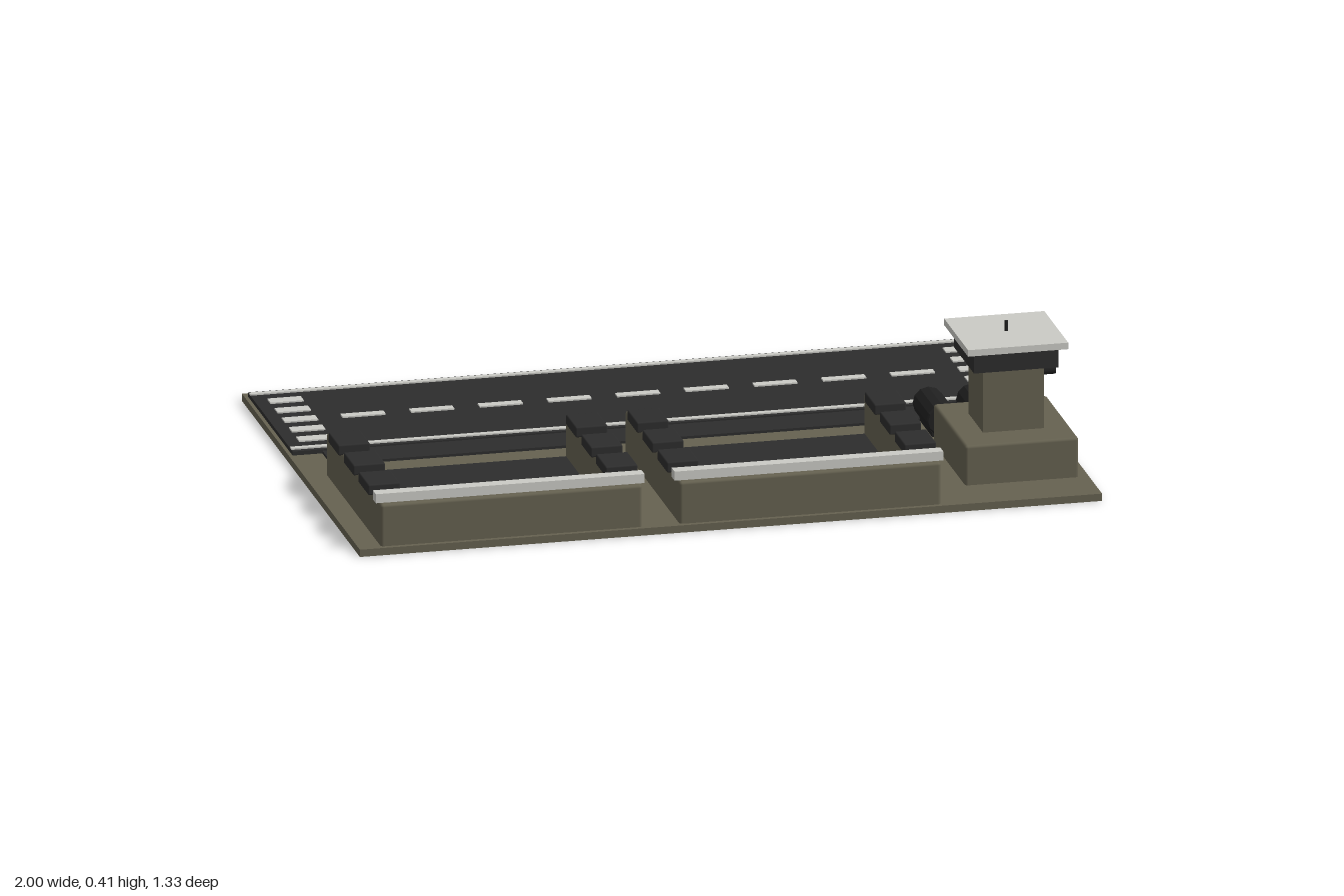
import * as THREE from 'three';
import { RoundedBoxGeometry } from 'three/addons/geometries/RoundedBoxGeometry.js';

const mat = (name, color) => {
  const m = new THREE.MeshStandardMaterial({ color });
  m.name = name;
  return m;
};

export function createModel() {
  const olive = mat('olive concrete', 0x656150);
  const asphalt = mat('asphalt', 0x2d2d2d);
  const white = mat('off white', 0xcacac5);
  const black = mat('dark metal', 0x202020);
  const root = new THREE.Group();
  root.name = 'airbase';

  const group = (name) => {
    const g = new THREE.Group();
    g.name = name;
    root.add(g);
    return g;
  };
  // Box given by its limits on each axis, with an optional rounded edge
  const box = (parent, name, m, [x0, x1], [y0, y1], [z0, z1], r = 0) => {
    const s = [x1 - x0, y1 - y0, z1 - z0];
    const geo = r ? new RoundedBoxGeometry(...s, 2, r) : new THREE.BoxGeometry(...s);
    const mesh = new THREE.Mesh(geo, m);
    mesh.name = name;
    mesh.position.set((x0 + x1) / 2, (y0 + y1) / 2, (z0 + z1) / 2);
    parent.add(mesh);
    return mesh;
  };
  const rod = (parent, name, m, r, length, x, y, z, sides = 12) => {
    const mesh = new THREE.Mesh(new THREE.CylinderGeometry(r, r, length, sides), m);
    mesh.name = name;
    mesh.position.set(x, y, z);
    parent.add(mesh);
    return mesh;
  };

  // Ground slab
  box(root, 'groundSlab', olive, [-1, 1], [0, 0.02], [-0.665, 0.665]);

  // Runway, taxiway and painted markings
  const runway = group('runway');
  box(runway, 'runwaySurface', asphalt, [-0.99, 0.99], [0.015, 0.031], [-0.64, -0.135]);
  box(runway, 'taxiway', asphalt, [-0.91, 0.77], [0.015, 0.027], [-0.14, 0.03 - 0.06]);
  for (const z of [-0.619, -0.157])
    box(runway, 'edgeLine', white, [-0.99, 0.99], [0.03, 0.035], [z - 0.008, z + 0.008]);
  for (let i = -4; i <= 4; i++) {
    const x = i * 0.185;
    box(runway, 'centreDash', white, [x - 0.058, x + 0.058], [0.03, 0.035], [-0.4, -0.374]);
  }
  for (const side of [-1, 1])
    for (let i = -2; i <= 2; i++) {
      const z = -0.387 + i * 0.081, x = side * 0.91;
      box(runway, 'thresholdBar', white, [x - 0.045, x + 0.045], [0.03, 0.035], [z - 0.018, z + 0.018]);
    }

  // Two aircraft bays: U-shaped walls, paved floor, crates on the side walls
  for (const cx of [-0.588, 0.217]) {
    const bay = group('aircraftBay');
    box(bay, 'bayFloor', asphalt, [cx - 0.296, cx + 0.288], [0.015, 0.028], [0.06, 0.577]);
    box(bay, 'frontWall', olive, [cx - 0.352, cx + 0.352], [0.012, 0.135], [0.59, 0.652], 0.008);
    box(bay, 'wallCap', white, [cx - 0.362, cx + 0.362], [0.135, 0.16], [0.602, 0.636]);
    for (const s of [-1, 1]) {
      const x = cx + s * 0.322;
      box(bay, 'sideWall', olive, [x - 0.03, x + 0.03], [0.012, 0.135], [0.035, 0.64], 0.008);
      for (const z of [0.16, 0.33, 0.498]) {
        const px = cx + s * 0.32;
        box(bay, 'wallCrate', asphalt, [px - 0.043, px + 0.043], [0.13, 0.159], [z - 0.056, z + 0.056], 0.004);
      }
    }
  }

  // Control tower
  const tower = group('controlTower');
  box(tower, 'towerBase', olive, [0.667, 0.973], [0.012, 0.129], [0.155, 0.517], 0.008);
  box(tower, 'towerShaft', olive, [0.738, 0.902], [0.12, 0.306], [0.255, 0.419]);
  box(tower, 'cabWindows', asphalt, [0.706, 0.934], [0.305, 0.361], [0.223, 0.451]);
  box(tower, 'towerRoof', white, [0.685, 0.955], [0.36, 0.378], [0.202, 0.472]);
  rod(tower, 'antenna', black, 0.005, 0.03, 0.82, 0.391, 0.337, 8);

  // Windsock on its post
  rod(tower, 'windsockPost', black, 0.008, 0.12, 0.918, 0.18, 0.222);
  rod(tower, 'windsock', black, 0.013, 0.078, 0.94, 0.223, 0.222).rotation.z = Math.PI / 2;

  // Fuel drums lying beside the tower
  const drums = group('fuelDrums');
  const r = 0.042;
  const profile = [[0, -0.082], [r - 0.004, -0.082], [r, -0.078], [r, 0.078], [r - 0.004, 0.082], [0, 0.082]]
    .map(([x, y]) => new THREE.Vector2(x, y));
  const drumGeo = new THREE.LatheGeometry(profile, 12).toNonIndexed();
  drumGeo.computeVertexNormals();
  for (const x of [0.701, 0.818, 0.935]) {
    const drum = new THREE.Mesh(drumGeo, black);
    drum.name = 'fuelDrum';
    drum.rotation.x = Math.PI / 2;
    drum.position.set(x, 0.067, 0.033);
    drums.add(drum);
    // Low cradle under each drum
    box(drums, 'drumCradle', black, [x - 0.025, x + 0.025], [0.015, 0.032], [-0.04, 0.105]);
  }
  return root;
}
